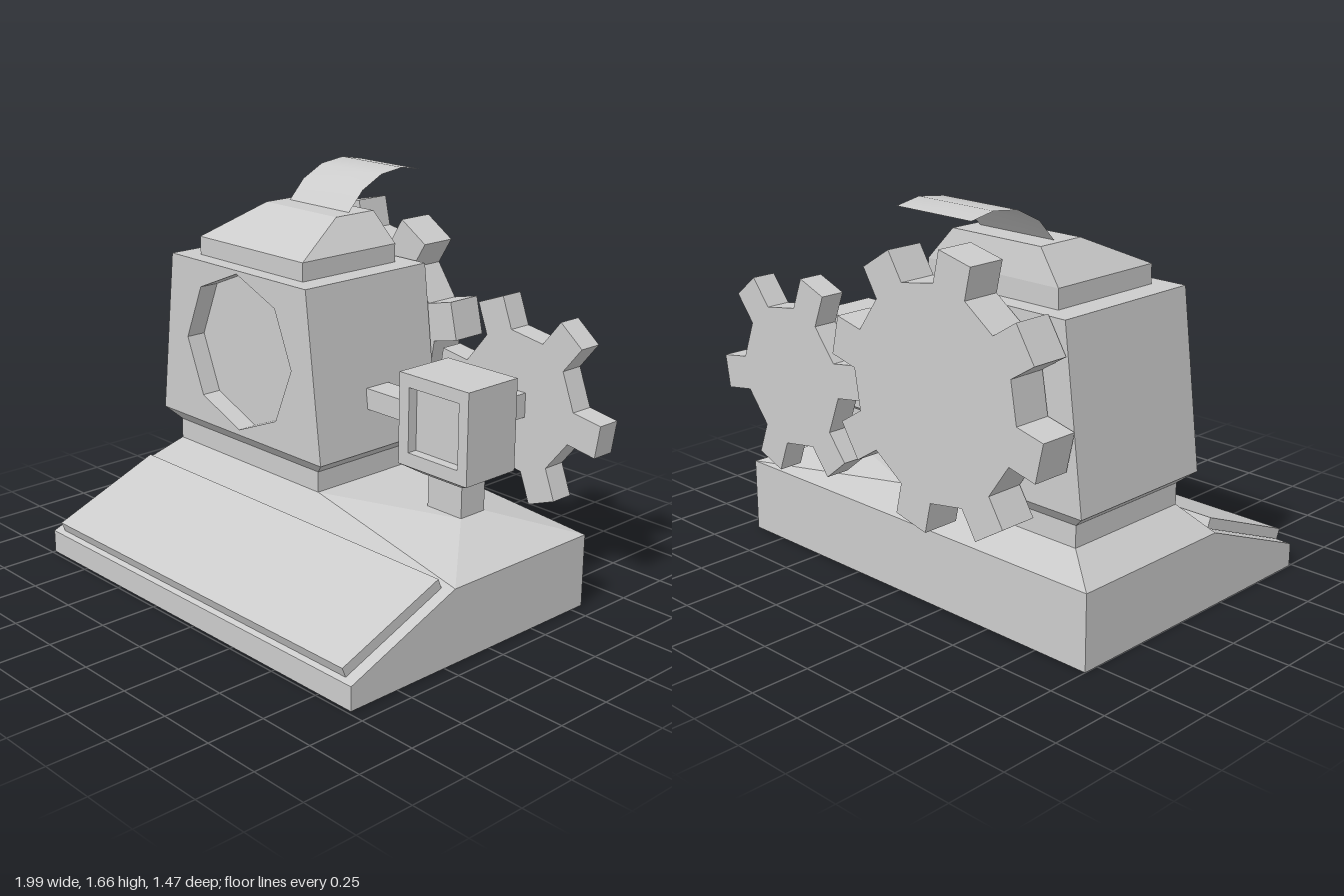
import * as THREE from 'three';
import { ConvexGeometry } from 'three/addons/geometries/ConvexGeometry.js';

const material = new THREE.MeshStandardMaterial({ color: 0xcccccc, flatShading: true });
const smoothThin = new THREE.MeshStandardMaterial({ color: 0xcccccc, side: THREE.DoubleSide });

function add(parent, name, geometry, mat = material) {
  const mesh = new THREE.Mesh(geometry, mat);
  mesh.name = name;
  parent.add(mesh);
  return mesh;
}

// Four corners of a level rectangle at height y
function rect(y, x0, x1, z0, z1) {
  return [[x0, z0], [x1, z0], [x1, z1], [x0, z1]].map(([x, z]) => new THREE.Vector3(x, y, z));
}

// Straight or tapered block between level rectangles
function hull(...rects) {
  return new ConvexGeometry(rects.flat());
}

function polygon(points) {
  return new THREE.Shape(points.map(([x, y]) => new THREE.Vector2(x, y)));
}

function extrude(shape, z0, z1) {
  return new THREE.ExtrudeGeometry(shape, { depth: z1 - z0, bevelEnabled: false }).translate(0, 0, z0);
}

// Block with a recess cut into its front face
function recessedBlock(parent, name, outline, hole, z0, z1, depth) {
  const block = new THREE.Group();
  block.name = name;
  const front = polygon(outline);
  front.holes.push(polygon(hole));
  add(block, name + 'Front', extrude(front, z1 - depth, z1));
  add(block, name + 'Core', extrude(polygon(outline), z0, z1 - depth));
  parent.add(block);
}

// Gear with straight-sided square teeth
function gear(parent, name, { x, y, z0, z1, teeth, root, tip, width, turn }) {
  const points = [];
  for (let i = 0; i < teeth; i++) {
    const a = turn + (i / teeth) * Math.PI * 2;
    const c = Math.cos(a), s = Math.sin(a), h = width / 2;
    for (const [d, w] of [[root, -h], [tip, -h], [tip, h], [root, h]]) {
      points.push([x + d * c - w * s, y + d * s + w * c]);
    }
  }
  add(parent, name, extrude(polygon(points), z0, z1));
}

export function createModel() {
  const model = new THREE.Group();
  model.name = 'machine';

  // Wedge-fronted base with a raised deck under both pedestals
  add(model, 'base', hull(
    rect(0, -1, 0.925, -0.565, 0.735),
    rect(0.1, -1, 0.925, 0.735, 0.735),
    rect(0.315, -1, 0.925, -0.565, 0.2)));
  add(model, 'deck', hull(
    rect(0.315, -1, 0.925, -0.565, 0.2),
    rect(0.425, -0.87, 0.055, -0.48, 0.11),
    rect(0.425, 0.465, 0.65, -0.255, -0.12)));
  const plate = add(model, 'frontPlate', new THREE.BoxGeometry(1.82, 0.045, 0.53));
  plate.position.set(-0.035, 0.231, 0.4775);
  plate.rotation.x = 0.383;

  // Main housing: neck, flare and tapered body with an octagonal recess
  add(model, 'neck', hull(
    rect(0.425, -0.87, 0.055, -0.48, 0.11), rect(0.515, -0.87, 0.055, -0.48, 0.11)));
  add(model, 'neckFlare', hull(
    rect(0.515, -0.87, 0.055, -0.48, 0.11), rect(0.567, -0.935, 0.12, -0.525, 0.155)));
  const octagon = [];
  for (let i = 0; i < 8; i++) {
    const a = (i * Math.PI) / 4;
    octagon.push([-0.405 + 0.345 * Math.sin(a), 0.935 + 0.345 * Math.cos(a)]);
  }
  recessedBlock(model, 'housing',
    [[-0.935, 0.567], [0.12, 0.567], [0.03, 1.295], [-0.845, 1.295]],
    octagon, -0.525, 0.155, 0.09);

  // Cap and sloping roof
  add(model, 'cap', hull(
    rect(1.295, -0.74, -0.07, -0.445, 0.08), rect(1.375, -0.74, -0.07, -0.445, 0.08)));
  add(model, 'roof', hull(
    rect(1.375, -0.74, -0.07, -0.445, 0.08), rect(1.505, -0.63, -0.18, -0.42, -0.205)));

  // Thin curved flap, listed from its rear tip to the roof as [y, z]
  const curve = [[1.64, -0.735], [1.66, -0.625], [1.645, -0.5], [1.59, -0.39], [1.505, -0.31]];
  const flap = new THREE.PlaneGeometry(0.38, 1, 1, curve.length - 1);
  const pos = flap.attributes.position;
  for (let i = 0; i < pos.count; i++) {
    const [y, z] = curve[Math.floor(i / 2)];
    pos.setXYZ(i, pos.getX(i) - 0.405, y, z);
  }
  flap.computeVertexNormals();
  add(model, 'flap', flap, smoothThin);

  // Gearbox on its post
  add(model, 'post', hull(
    rect(0.425, 0.465, 0.65, -0.255, -0.12), rect(0.567, 0.465, 0.65, -0.255, -0.12)));
  add(model, 'postFlare', hull(
    rect(0.567, 0.455, 0.66, -0.275, -0.1), rect(0.602, 0.365, 0.74, -0.327, -0.047)));
  recessedBlock(model, 'gearbox',
    [[0.365, 0.602], [0.74, 0.602], [0.74, 0.99], [0.365, 0.99]],
    [[0.42, 0.66], [0.69, 0.66], [0.69, 0.935], [0.42, 0.935]],
    -0.327, -0.047, 0.045);

  // Square shafts to the housing and to the small gear
  add(model, 'sideShaft', hull(
    rect(0.745, 0.09, 0.37, -0.255, -0.13), rect(0.835, 0.09, 0.37, -0.255, -0.13)));
  add(model, 'rearShaft', hull(
    rect(0.745, 0.505, 0.605, -0.55, -0.32), rect(0.85, 0.505, 0.605, -0.55, -0.32)));

  // Meshing gears behind the machine
  gear(model, 'largeGear', {
    x: -0.348, y: 0.943, z0: -0.7, z1: -0.537, teeth: 8,
    root: 0.423, tip: 0.555, width: 0.165, turn: 0.227 });
  gear(model, 'smallGear', {
    x: 0.555, y: 0.802, z0: -0.643, z1: -0.537, teeth: 6,
    root: 0.293, tip: 0.434, width: 0.142, turn: -0.157 });
  const hub = add(model, 'largeGearHub', new THREE.CylinderGeometry(0.08, 0.08, 0.04, 8));
  hub.rotation.x = Math.PI / 2;
  hub.position.set(-0.348, 0.943, -0.53);

  return model;
}
